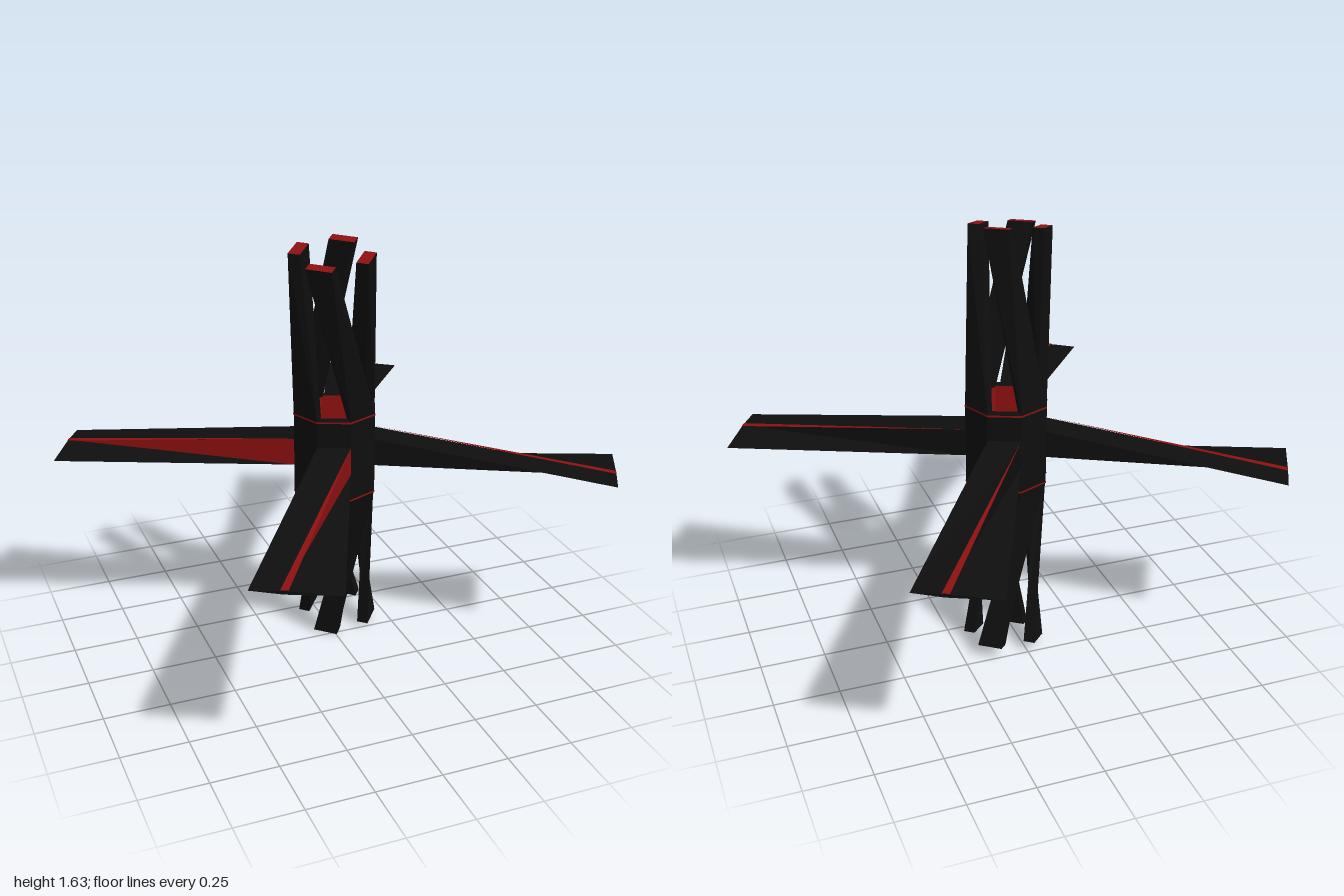
import * as THREE from 'three';

const black = new THREE.MeshStandardMaterial({ color: 0x0e0e0e });
black.name = 'black';
const red = new THREE.MeshStandardMaterial({ color: 0x8c1010 });
red.name = 'red';
const redInside = red.clone();
redInside.name = 'red inside';
redInside.side = THREE.BackSide;

const MID = 0.815, HUB_R = 0.163, HUB_IN = 0.125, HUB_H = 0.32;
const rad = Math.PI / 180;
const polar = (r, deg, y) => new THREE.Vector3(r * Math.cos(deg * rad), y, r * Math.sin(deg * rad));

// One flat-shaded mesh from a list of triangles
function facets(name, tris, material) {
  const g = new THREE.BufferGeometry().setFromPoints(tris.flat());
  g.computeVertexNormals();
  const m = new THREE.Mesh(g, material);
  m.name = name;
  return m;
}

// Loft between two four-cornered ends, listed counter-clockwise seen from the tip.
// isRed(side, half) picks the triangles coloured red; side 4 is the end cap.
function loft(name, root, tip, isRed) {
  const tris = { black: [], red: [] };
  const add = (side, half, t) => tris[isRed(side, half) ? 'red' : 'black'].push(t);
  for (let i = 0; i < 4; i++) {
    const j = (i + 1) % 4;
    add(i, 0, [root[i], root[j], tip[j]]);
    add(i, 1, [root[i], tip[j], tip[i]]);
  }
  add(4, 0, [tip[0], tip[1], tip[2]]);
  add(4, 1, [tip[0], tip[2], tip[3]]);
  const group = new THREE.Group();
  group.name = name;
  group.add(facets(name + 'Dark', tris.black, black), facets(name + 'Red', tris.red, red));
  return group;
}

// Open octagonal ring, red on the inside with thin red rims
function makeHub() {
  const hub = new THREE.Group();
  hub.name = 'hub';
  const add = (name, geo, mat, y) => {
    const m = new THREE.Mesh(geo.toNonIndexed(), mat);
    m.geometry.computeVertexNormals();
    m.name = name;
    m.position.y = y;
    hub.add(m);
  };
  add('hubWall', new THREE.CylinderGeometry(HUB_R, HUB_R, HUB_H, 8, 1, true), black, MID);
  add('hubLining', new THREE.CylinderGeometry(HUB_IN, HUB_IN, HUB_H, 8, 1, true), redInside, MID);
  for (const s of [1, -1]) {
    const ring = new THREE.RingGeometry(HUB_IN, HUB_R, 8).rotateX(-s * Math.PI / 2);
    add('hubRim', ring, black, MID + s * HUB_H / 2);
    add('rimLine', new THREE.CylinderGeometry(HUB_R + 0.002, HUB_R + 0.002, 0.007, 8, 1, true), red,
      MID + s * (HUB_H / 2 - 0.004));
  }
  return hub;
}

// Twisted blade: square root on one hub face, flat diamond at the tip
function makeBlade(k) {
  const v = (x, y, z) => new THREE.Vector3(x, y, z);
  const a = polar(HUB_R, 0, 0), b = polar(HUB_R, 45, 0);
  const root = [v(a.x, 0.765, a.z), v(a.x, 0.87, a.z), v(b.x, 0.87, b.z), v(b.x, 0.765, b.z)];
  const tip = [v(1, 0.768, 0.36), v(0.91, 0.774, 0.53), v(0.855, 0.768, 0.63), v(0.91, 0.762, 0.53)];
  const redFlank = k === 1 || k === 2;
  const blade = loft('blade', root, tip, (side, half) => side === 3 || (side === 0 && half === 0 && redFlank));
  // Thin ridge line along the top
  const lift = v(0, 0.003, 0);
  const ridge = [root[1], tip[1].clone().lerp(tip[2], 0.1), tip[1].clone().lerp(tip[0], 0.08)];
  blade.add(facets('ridgeLine', [ridge.map(p => p.clone().add(lift))], red));
  blade.rotation.y = -k * Math.PI / 2;
  return blade;
}

// Leaning, twisted strut from a hub face to a small rectangular end
function makeStrut(k, lower) {
  const tipDeg = 40 + 90 * k, rootDeg = tipDeg - 62.5;
  const out = polar(1, tipDeg, 0), along = polar(1, tipDeg + 90, 0);
  const corner = (r, t) => {
    const p = out.clone().multiplyScalar(r).addScaledVector(along, t);
    return new THREE.Vector3(p.x - 0.06, 1.605 + 0.075 * p.x - 0.16 * p.z, p.z + 0.128);
  };
  let root = [
    polar(HUB_R, rootDeg + 22.5, 0.97), polar(HUB_R, rootDeg - 22.5, 0.97),
    polar(HUB_IN, rootDeg - 22.5, 0.97), polar(HUB_IN, rootDeg + 22.5, 0.97),
  ];
  let tip = [corner(0.147, 0.048), corner(0.147, -0.048), corner(0.103, -0.048), corner(0.103, 0.048)];
  if (lower) {
    const invert = p => new THREE.Vector3(-p.x, 2 * MID - p.y, -p.z);
    root = root.map(invert).reverse();
    tip = tip.map(invert).reverse();
  }
  return loft(lower ? 'lowerStrut' : 'upperStrut', root, tip, side => side === 4);
}

export function createModel() {
  const model = new THREE.Group();
  model.name = 'spinner';
  model.add(makeHub());
  for (let k = 0; k < 4; k++) {
    model.add(makeBlade(k), makeStrut(k, false), makeStrut(k, true));
  }
  return model;
}
